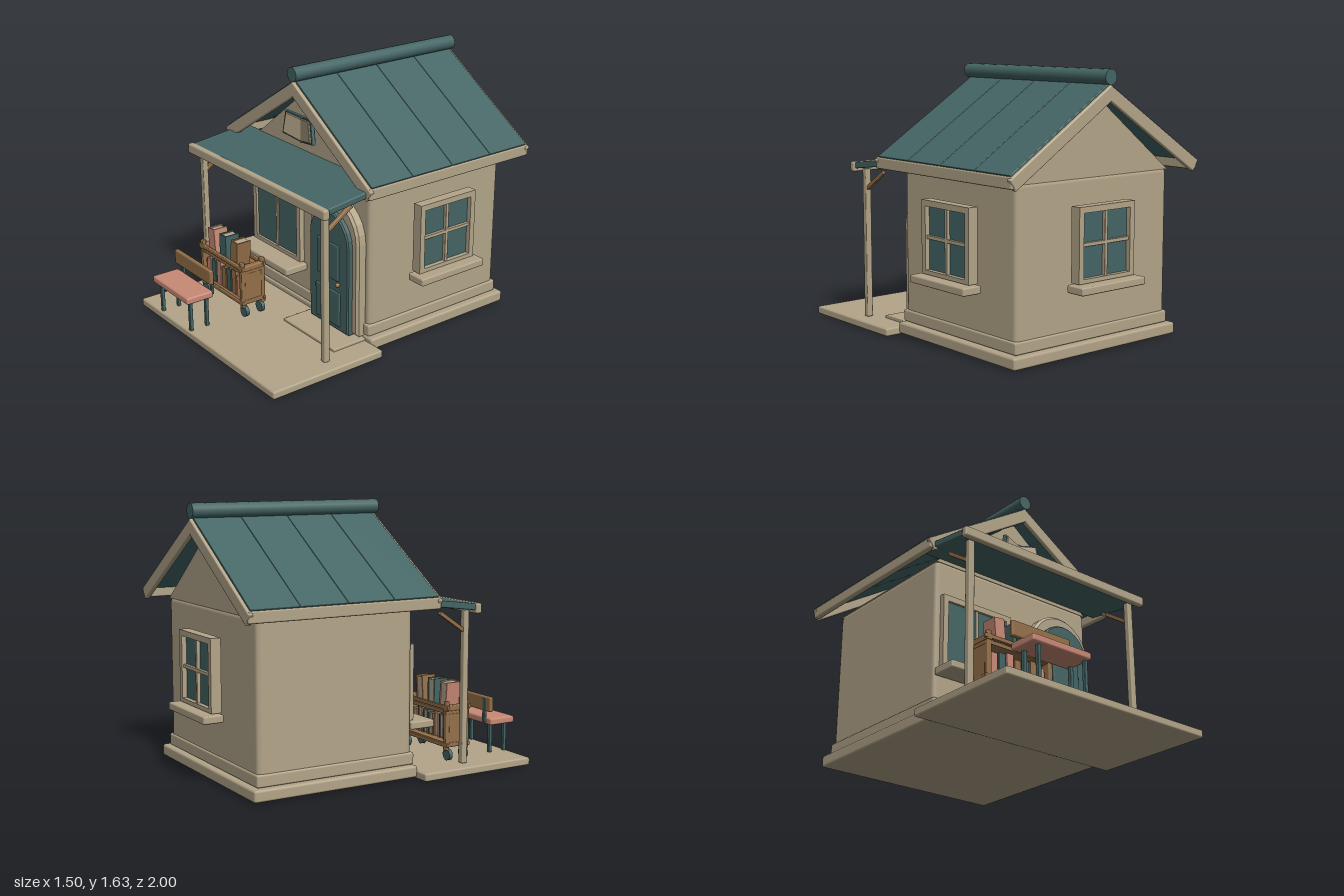
import * as THREE from 'three';
import { RoundedBoxGeometry } from 'three/addons/geometries/RoundedBoxGeometry.js';

const mat = (name, color) => Object.assign(new THREE.MeshStandardMaterial({ color }), { name });

export function createModel() {
  const cream = mat('cream', 0xb3a589), teal = mat('teal', 0x456565);
  const brown = mat('brown', 0x957049), salmon = mat('salmon', 0xc98a76);
  const root = new THREE.Group();
  root.name = 'bookshop';
  const CX = -0.0125; // centre line of the house

  const add = (parent, name, geo, m) => {
    const mesh = new THREE.Mesh(geo, m);
    mesh.name = name;
    parent.add(mesh);
    return mesh;
  };
  const group = (name, x = 0, y = 0, z = 0, parent = root) => {
    const g = new THREE.Group();
    g.name = name;
    g.position.set(x, y, z);
    parent.add(g);
    return g;
  };
  // bevelled block given by its limits on each axis
  const box = (parent, name, m, [x0, x1], [y0, y1], [z0, z1], r = 0.006) => {
    const w = x1 - x0, h = y1 - y0, d = z1 - z0;
    const mesh = add(parent, name, new RoundedBoxGeometry(w, h, d, 1, Math.min(r, w / 3, h / 3, d / 3)), m);
    mesh.position.set((x0 + x1) / 2, (y0 + y1) / 2, (z0 + z1) / 2);
    return mesh;
  };
  const around = (c, half) => [c - half, c + half];
  const extrude = (shape, depth, bevel = 0) => new THREE.ExtrudeGeometry(shape, {
    depth, curveSegments: 6, bevelEnabled: bevel > 0, bevelSize: bevel, bevelOffset: -bevel,
    bevelThickness: bevel, bevelSegments: 1 });
  const polygon = pts => new THREE.Shape(pts.map(p => new THREE.Vector2(...p)));

  // ground slabs, walls and gable
  box(root, 'porchSlab', cream, [-0.75, 0.727], [0, 0.05], [0.2, 0.99], 0.012);
  box(root, 'foundation', cream, around(CX, 0.645), [0.008, 0.08], [-0.88, 0.21], 0.015);
  box(root, 'plinth', cream, around(CX, 0.608), [0.08, 0.155], [-0.845, 0.205], 0.012);
  box(root, 'walls', cream, around(CX, 0.596), [0.08, 1.03], [-0.834, 0.193], 0.03);
  const gable = add(root, 'gable', extrude(polygon([[-0.6, 1.02], [0.6, 1.02], [0, 1.485]]), 1.02), cream);
  gable.position.set(CX, 0, -0.83);

  // main roof: two slopes of four panels, edged with barge boards
  const pitch = Math.atan(0.636);
  for (const s of [-1, 1]) {
    const slope = group(s < 0 ? 'rightRoofSlope' : 'leftRoofSlope', CX, 1.557, 0);
    slope.rotation.z = -s * pitch;
    const span = l => (s > 0 ? [0, l] : [-l, 0]);
    for (let i = 0; i < 4; i++) {
      const z = -0.935 + i * 0.306;
      box(slope, 'roofPanel', teal, span(0.86), [-0.035, 0], [z, z + 0.305], 0.004);
    }
    for (const z of [[-0.955, -0.922], [0.278, 0.31]])
      box(slope, 'bargeBoard', cream, span(0.885), [-0.088, -0.01], z, 0.008);
    box(root, 'eaveBoard', cream, around(CX + s * 0.71, 0.02), [1.02, 1.09], [-0.95, 0.305], 0.01);
  }
  const ridge = add(root, 'ridgeCap', new THREE.CylinderGeometry(0.045, 0.045, 1.26, 16), teal);
  ridge.rotation.x = Math.PI / 2;
  ridge.position.set(CX, 1.59, -0.32);

  // porch roof with posts and braces
  const awning = group('porchRoof', CX, 1.03, 0.595);
  awning.rotation.x = 0.13;
  box(awning, 'porchRoofPanel', teal, around(0, 0.7), [-0.04, 0], [-0.42, 0], 0.008);
  box(root, 'porchBeam', cream, around(CX, 0.713), [0.972, 1.035], [0.572, 0.615], 0.012);
  for (const x of [-0.642, 0.62]) {
    box(root, 'porchPost', cream, around(x, 0.02), [0.05, 0.99], [0.53, 0.568], 0.006);
    const brace = group('porchBrace', x, 0.925, 0.45);
    brace.rotation.x = 0.59;
    box(brace, 'braceBar', brown, around(0, 0.012), around(0, 0.012), around(0, 0.105), 0.004);
  }

  // windows, built facing +z with the base of the frame at y = 0
  const makeWindow = (name, w, h, depth, sillDepth, cross) => {
    const g = group(name), b = 0.036;
    const rect = (x, y0, y1) => [[-x, y0], [x, y0], [x, y1], [-x, y1]];
    const frame = polygon(rect(w / 2, 0, h));
    frame.holes.push(new THREE.Path(rect(w / 2 - b, b * 0.7, h - b).map(p => new THREE.Vector2(...p))));
    add(g, 'windowFrame', extrude(frame, depth), cream);
    box(g, 'windowGlass', teal, around(0, w / 2 - b / 2), [b / 3, h - b / 2], [0.012, depth * 0.55], 0.002);
    box(g, 'mullion', cream, around(0, 0.011), [b / 2, h - b / 2], [0.014, depth - 0.008], 0.003);
    if (cross) box(g, 'crossBar', cream, around(0, w / 2 - b / 2), around(h / 2, 0.011), [0.014, depth - 0.01], 0.003);
    box(g, 'windowSill', cream, around(0, w / 2 + 0.033), [-0.052, -0.004], [0, sillDepth], 0.01);
    return g;
  };
  makeWindow('frontWindow', 0.512, 0.46, 0.035, 0.165, false).position.set(-0.32, 0.34, 0.192);
  const side = makeWindow('sideWindow', 0.437, 0.437, 0.065, 0.13, true);
  side.position.set(0.62, 0.44, -0.33);
  side.rotation.y = Math.PI / 2;
  const back = makeWindow('backWindow', 0.437, 0.437, 0.065, 0.13, true);
  back.position.set(CX, 0.44, -0.87);
  back.rotation.y = Math.PI;

  // arched door
  const arch = (r, top) => {
    const s = new THREE.Shape();
    s.moveTo(-r, 0.075);
    s.lineTo(r, 0.075);
    s.lineTo(r, top - r);
    s.absarc(0, top - r, r, 0, Math.PI);
    return s;
  };
  const door = group('door', 0.3125, 0, 0);
  add(door, 'doorSurround', extrude(arch(0.235, 0.905), 0.06, 0.015), cream).position.z = 0.18;
  add(door, 'doorLeaf', extrude(arch(0.188, 0.83), 0.05, 0.008), teal).position.z = 0.232;
  box(door, 'upperDoorPanel', teal, [-0.103, 0.103], [0.405, 0.637], [0.28, 0.301], 0.006);
  box(door, 'lowerDoorPanel', teal, [-0.117, 0.117], [0.108, 0.332], [0.28, 0.301], 0.006);
  add(door, 'doorKnob', new THREE.SphereGeometry(0.015, 12, 8), brown).position.set(0.118, 0.395, 0.312);
  box(door, 'doorStep', cream, around(0, 0.255), [0.04, 0.066], [0.19, 0.445], 0.006);

  // open book sign on the gable
  const sign = group('openBookSign', CX, 1.24, 0.215);
  for (const s of [-1, 1]) {
    const half = group('bookHalf', 0, 0, 0, sign);
    half.rotation.y = -s * 0.25;
    const page = (i, t) => {
      const p = [[s * 0.002, -0.088 + i], [s * (0.162 - i), -0.055 + i], [s * (0.136 - i), 0.095 - i], [s * 0.002, 0.075 - i]];
      return extrude(polygon(p), t, 0.003);
    };
    add(half, 'bookCover', page(0, 0.02), teal);
    add(half, 'bookPage', page(0.011, 0.012), cream).position.z = 0.018;
  }
  box(sign, 'bookSpine', brown, around(0, 0.006), [-0.085, 0.075], [0, 0.034], 0.002);

  // bench
  const bench = group('bench');
  box(bench, 'benchSeat', salmon, [-0.575, -0.157], [0.235, 0.28], [0.815, 1.0], 0.012);
  box(bench, 'benchBack', brown, [-0.575, -0.157], [0.32, 0.415], [0.805, 0.835], 0.01);
  for (const x of [-0.515, -0.215 + 0.035]) {
    for (const z of [0.855, 0.967])
      box(bench, 'benchLeg', teal, around(x, 0.011), [0.05, 0.245], around(z, 0.011), 0.003);
    box(bench, 'backSupport', teal, around(x, 0.011), [0.25, 0.4], [0.8, 0.818], 0.003);
  }

  // book cart
  const cart = group('bookCart');
  const ends = [-0.57, -0.125];
  box(cart, 'topTray', brown, [-0.585, -0.11], [0.345, 0.37], [0.47, 0.63], 0.005);
  box(cart, 'bottomShelf', brown, [-0.585, -0.11], [0.14, 0.17], [0.47, 0.63], 0.005);
  for (const z of [0.472, 0.63]) {
    box(cart, 'topRail', brown, [-0.6, -0.1], [0.375, 0.4], around(z, 0.011), 0.005);
    box(cart, 'bottomRail', brown, [-0.595, -0.105], [0.14, 0.165], around(z, 0.01), 0.005);
  }
  for (const x of ends) {
    box(cart, 'endPanel', brown, around(x, 0.012), [0.14, 0.385], [0.475, 0.625], 0.004);
    box(cart, 'endRail', brown, around(x, 0.02), [0.365, 0.4], [0.46, 0.642], 0.008);
    for (const z of [0.477, 0.623]) {
      box(cart, 'cartPost', brown, around(x, 0.015), [0.12, 0.425], around(z, 0.014), 0.006);
      const wheel = add(cart, 'castor', new THREE.CylinderGeometry(0.036, 0.036, 0.024, 14), teal);
      wheel.rotation.x = Math.PI / 2;
      wheel.position.set(x + (x < -0.3 ? 0.003 : -0.003), 0.093, z < 0.55 ? 0.492 : 0.608);
    }
  }

  // books: a cover wrapped round a block of pages, standing at (x, y)
  const book = (x, y, w, h, lean, m) => {
    const g = group('book', x, y, 0.56, cart);
    g.rotation.z = lean;
    for (const s of [-1, 1]) box(g, 'bookBoard', m, around(s * (w / 2 - 0.005), 0.005), [0, h], [-0.045, 0.055], 0.002);
    box(g, 'bookBack', m, around(0, w / 2), [0, h], [0.046, 0.056], 0.002);
    box(g, 'bookPages', cream, around(0, w / 2 - 0.006), [0.005, h - 0.008], [-0.04, 0.05], 0.002);
  };
  [[-0.47, 0.09, salmon], [-0.35, 0, teal], [-0.232, -0.09, brown]].forEach(([x, lean, m]) => book(x, 0.368, 0.072, 0.162, lean, m));
  [salmon, teal, salmon, brown, teal, brown, salmon].forEach((m, i) =>
    book(-0.52 + i * 0.057, 0.17, 0.046, 0.14 + (i % 3) * 0.012, 0, m));

  return root;
}
